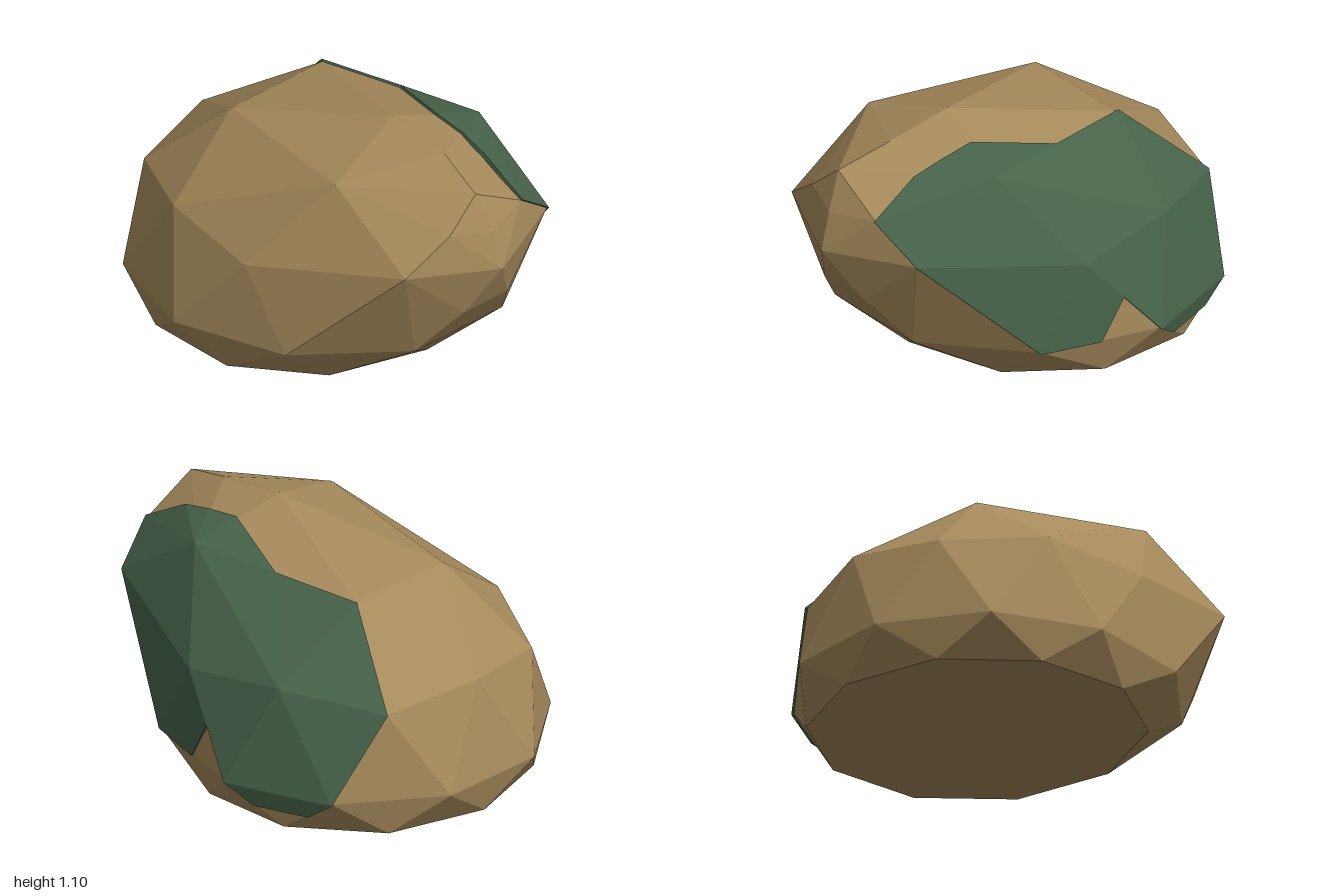
import * as THREE from 'three';
import { ConvexGeometry } from 'three/addons/geometries/ConvexGeometry.js';

const V = (x, y, z) => new THREE.Vector3(x, y, z);

// Boulder corners on the centre plane, and those mirrored front to back
const CENTRE = [
  [0.51, 0, 0], [-0.95, 0, 0], [-0.91, 0.62, 0], [0.29, 1.1, 0], [0.62, 1.06, 0],
  [0.87, 0.99, 0.05], [0.95, 0.82, 0.02], [1, 0.65, 0.01],
];
const SIDES = [
  // base ring
  [0.37, 0, 0.45], [0.01, 0, 0.72], [-0.44, 0, 0.72], [-0.81, 0, 0.45],
  // widest ring
  [-1, 0.18, 0.26], [-0.69, 0.18, 0.68], [-0.2, 0.18, 0.84], [0.34, 0.19, 0.68], [0.71, 0.2, 0.26],
  // shoulder ring
  [-0.8, 0.57, 0.45], [-0.37, 0.63, 0.68], [0.12, 0.57, 0.72], [0.82, 0.69, 0.42],
  [0.88, 0.42, 0.13], [0.88, 0.85, 0.21],
  // crown
  [-0.44, 0.92, 0.27], [0.38, 0.97, 0.42],
];

// Moss corners lying on the back of the boulder
const MOSS = {
  A: V(-0.8, 0.57, -0.45), B: V(-0.44, 0.92, -0.27), C: V(-0.03, 0.945, -0.345),
  D: V(0.38, 0.97, -0.42), E: V(0.335, 1.035, -0.21), W: V(0.5, 1.015, -0.21),
  X: V(0.65, 0.98, -0.2), F: V(0.88, 0.85, -0.21), G: V(0.82, 0.69, -0.42),
  H: V(0.34, 0.19, -0.68), I: V(0.07, 0.185, -0.76), J: V(-0.04, 0.375, -0.78),
  K: V(-0.2, 0.18, -0.84), L: V(-0.32, 0.09, -0.78), M: V(-0.565, 0.09, -0.7),
  N: V(-0.69, 0.18, -0.68), P: V(-0.37, 0.63, -0.68), Q: V(0.12, 0.57, -0.72),
};
const MOSS_FACES = 'ABP BCP CDP CED EWD WXD XFD FGD GQD GHQ DQP HIJ HJQ QJP JKP PKN KLM KMN PNA';

// Raised patch with a thin rim along every open edge
function mossGeometry(thickness) {
  const core = V(0, 0.4, 0);
  const outward = (p) => p.clone().sub(core).normalize();
  const lift = (k) => MOSS[k].clone().addScaledVector(outward(MOSS[k]), thickness);
  const sink = (k) => MOSS[k].clone().addScaledVector(outward(MOSS[k]), -0.01);
  const faces = MOSS_FACES.split(' ').map((f) => {
    const [a, b, c] = [...f].map((k) => MOSS[k]);
    const normal = b.clone().sub(a).cross(c.clone().sub(a));
    return normal.dot(outward(a)) < 0 ? [f[0], f[2], f[1]] : [...f];
  });
  const edges = new Set();
  const points = [];
  for (const f of faces) {
    points.push(...f.map(lift));
    f.forEach((k, i) => edges.add(k + f[(i + 1) % 3]));
  }
  for (const [a, b] of edges) {
    if (edges.has(b + a)) continue;
    points.push(lift(a), sink(a), sink(b), lift(a), sink(b), lift(b));
  }
  const geometry = new THREE.BufferGeometry().setFromPoints(points);
  geometry.computeVertexNormals();
  return geometry;
}

export function createModel() {
  const group = new THREE.Group();
  group.name = 'mossyBoulder';

  // Faceted boulder
  const points = CENTRE.map((p) => V(...p));
  for (const [x, y, z] of SIDES) points.push(V(x, y, z), V(x, y, -z));
  const boulder = new THREE.Mesh(
    new ConvexGeometry(points),
    new THREE.MeshStandardMaterial({ color: 0xa68a5b, flatShading: true }),
  );
  boulder.name = 'boulder';

  // Moss on the back
  const moss = new THREE.Mesh(
    mossGeometry(0.012),
    new THREE.MeshStandardMaterial({ color: 0x46634a, flatShading: true }),
  );
  moss.name = 'mossPatch';

  group.add(boulder, moss);
  return group;
}
